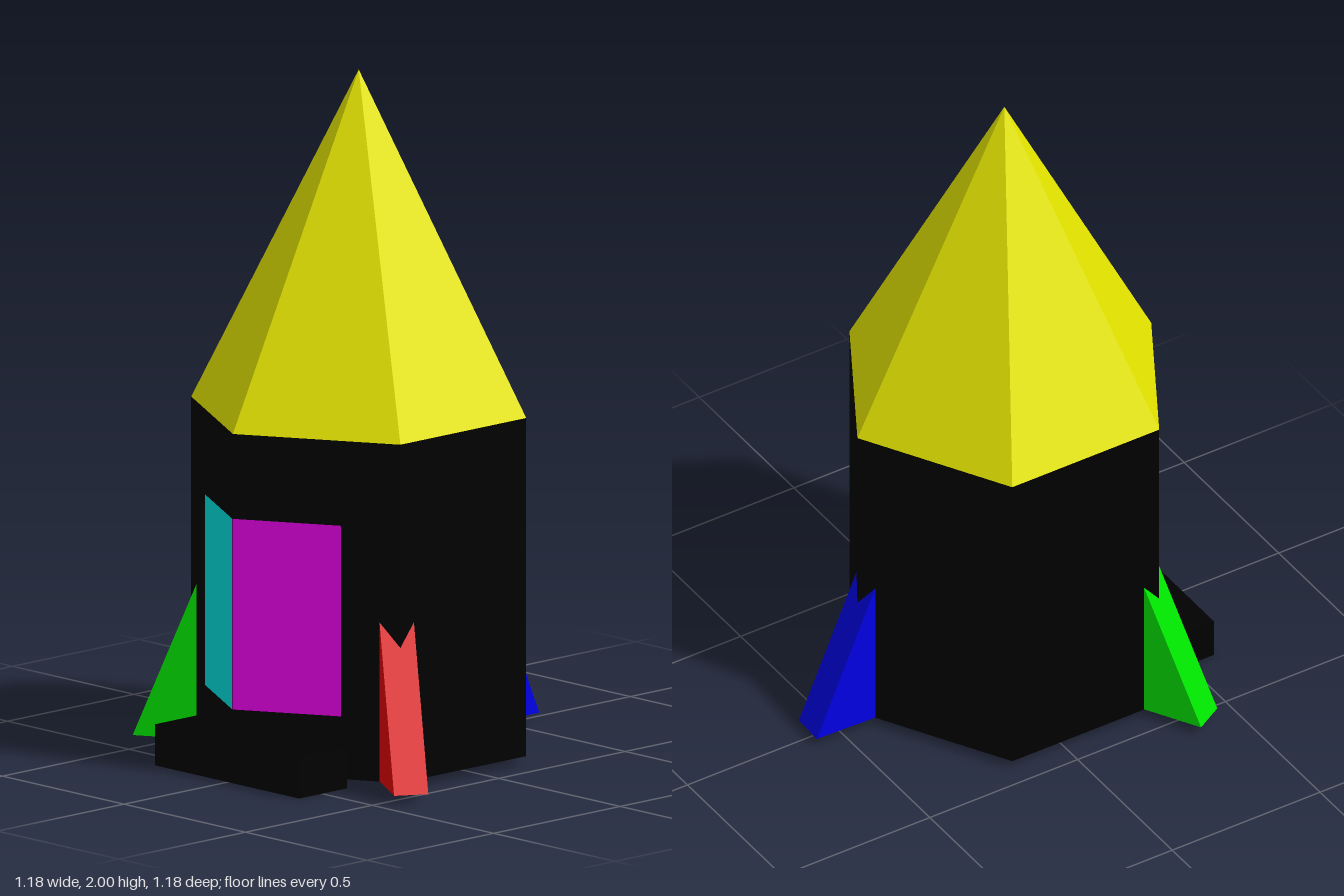
import * as THREE from 'three';

const material = (name, color) => {
  const m = new THREE.MeshStandardMaterial({ color });
  m.name = name;
  m.flatShading = true;
  return m;
};
const black = material('black', 0x000000);
const white = material('white', 0xffffff);
const yellow = material('yellow', 0xffff00);
const red = material('red', 0xff0000);
const green = material('green', 0x00ff00);
const blue = material('blue', 0x0000ff);
const cyan = material('cyan', 0x00ffff);
const magenta = material('magenta', 0xff00ff);

const RADIUS = 0.497, CX = -0.003, CZ = 0.07, BASE = 0.025, EAVES = 1.013;
const rad = THREE.MathUtils.degToRad;

export function createModel() {
  const model = new THREE.Group();
  model.name = 'rocket';
  const add = (name, geometry, mat, x, y, z, turn = 0) => {
    const mesh = new THREE.Mesh(geometry, mat);
    mesh.name = name;
    mesh.position.set(x, y, z);
    mesh.rotation.y = turn;
    model.add(mesh);
    return mesh;
  };

  // Hexagonal hull with a pale underside, one corner facing forward
  const height = EAVES - BASE;
  add('hull', new THREE.CylinderGeometry(RADIUS, RADIUS, height, 6),
    [black, black, white], CX, BASE + height / 2, CZ);

  // Pointed nose
  add('noseCone', new THREE.ConeGeometry(RADIUS, 2 - EAVES, 6, 1, true),
    yellow, CX, (EAVES + 2) / 2, CZ);

  // Two window panels meeting at the front corner
  const paneWidth = 0.322, lift = 0.002;
  for (const [name, side, mat] of [['rightWindow', -1, cyan], ['leftWindow', 1, magenta]]) {
    const a = side * rad(30);
    const along = side * paneWidth / 2;
    add(name, new THREE.PlaneGeometry(paneWidth, 0.557), mat,
      CX + along * Math.cos(a) + lift * Math.sin(a), 0.487,
      CZ + RADIUS - along * Math.sin(a) + lift * Math.cos(a), a);
  }

  // Front step
  add('step', new THREE.BoxGeometry(0.593, 0.12, 0.19), black, -0.003, 0.06, 0.495);

  // Three wedge fins on alternate corners; the origin is the outer foot
  const profile = new THREE.Shape([
    new THREE.Vector2(0, 0), new THREE.Vector2(-0.24, 0.575), new THREE.Vector2(-0.24, 0),
  ]);
  const finGeometry = new THREE.ExtrudeGeometry(profile, { depth: 0.1, bevelEnabled: false });
  finGeometry.translate(0, 0, -0.05);
  add('leftFin', finGeometry, red, 0.565, BASE + 0.001, 0.408, rad(-31.5));
  add('backFin', finGeometry, blue, 0.003, BASE + 0.001, -0.591, rad(88.3));
  add('rightFin', finGeometry, green, -0.567, BASE + 0.001, 0.402, rad(210));

  return model;
}
